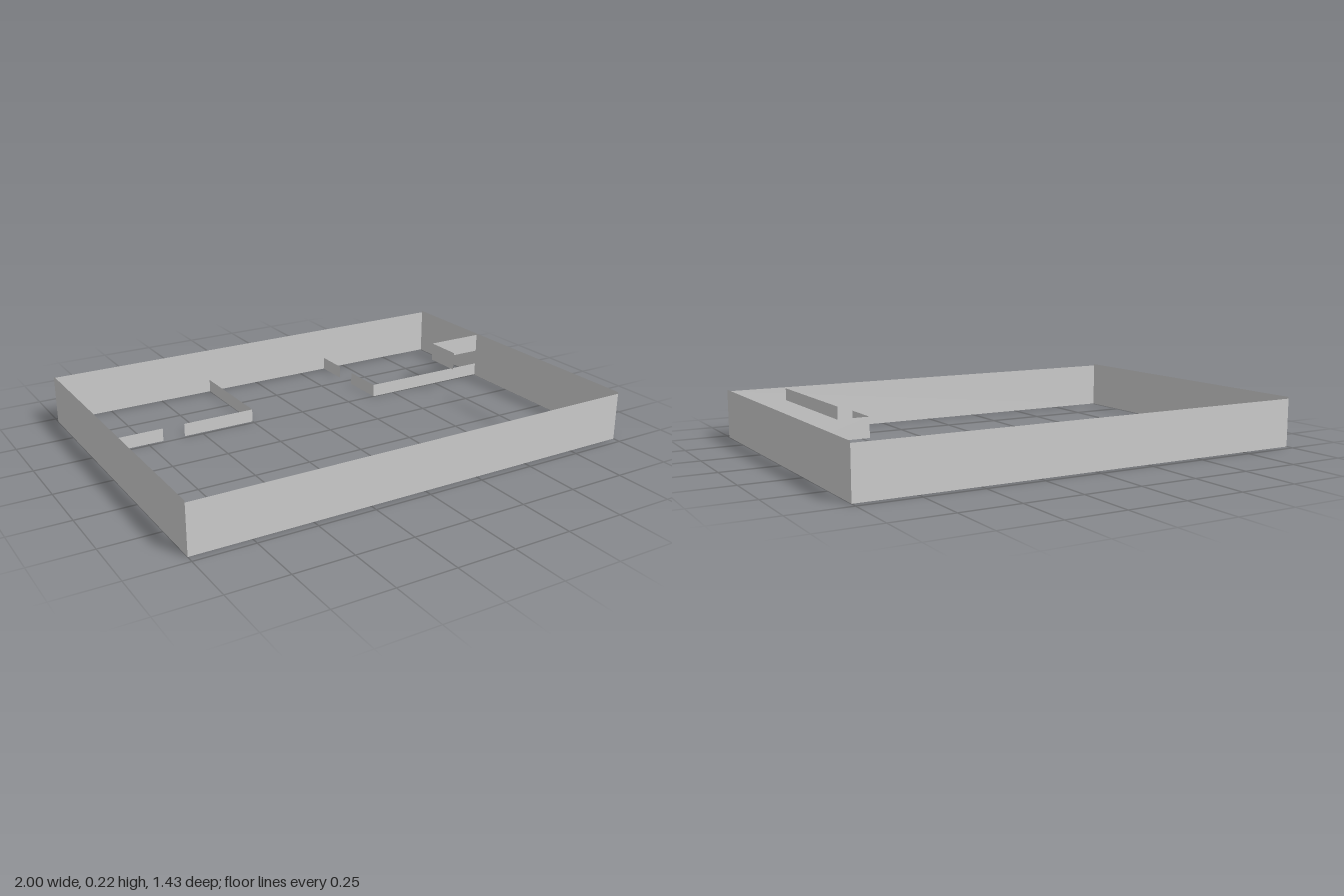
import * as THREE from 'three';

const material = new THREE.MeshStandardMaterial({ color: 0xcccccc, side: THREE.DoubleSide, flatShading: true });

// One thin upright panel between two plan points [x, z], from height y0 to y1
function wall(name, [xa, za], [xb, zb], y0, y1) {
  const length = Math.hypot(xb - xa, zb - za);
  const mesh = new THREE.Mesh(new THREE.PlaneGeometry(length, y1 - y0), material);
  mesh.position.set((xa + xb) / 2, (y0 + y1) / 2, (za + zb) / 2);
  mesh.rotation.y = -Math.atan2(zb - za, xb - xa);
  mesh.name = name;
  return mesh;
}

// A named run of connected panels along a plan path
function wallRun(name, path, y0, y1) {
  const run = new THREE.Group();
  run.name = name;
  for (let i = 0; i + 1 < path.length; i++) {
    run.add(wall(`${name}Panel${i + 1}`, path[i], path[i + 1], y0, y1));
  }
  return run;
}

export function createModel() {
  const model = new THREE.Group();
  model.name = 'floorPlan';
  const X = 1, Z = 0.715, LOW = 0.058;

  // Outer enclosure
  for (const s of [1, -1]) {
    model.add(wall(s > 0 ? 'frontWall' : 'backWall', [-X, s * Z], [X, s * Z], 0, 0.208));
    model.add(wall(s > 0 ? 'leftWall' : 'rightWall', [s * X, -Z], [s * X, Z], 0, 0.215));
  }

  // Low partitions on the floor, with door gaps between the runs
  model.add(
    wallRun('rightRoomStub', [[-X, -0.265], [-0.68, -0.265]], 0, LOW),
    wallRun('rightRoomCorner', [[-0.58, -0.265], [-0.25, -0.265], [-0.25, -Z]], 0, LOW),
    wallRun('leftRoomCorner', [[X, -0.25], [0.39, -0.25], [0.39, -0.45]], 0, LOW),
    wallRun('leftRoomStub', [[0.39, -0.555], [0.39, -Z]], 0, LOW),
  );

  // Raised partitions near the top of the enclosure
  model.add(
    wallRun('raisedCorner', [[X, -0.25], [0.73, -0.25], [0.73, -0.08]], 0.125, 0.208),
    wallRun('raisedPartition', [[0.73, 0.08], [0.73, Z]], 0.148, 0.203),
  );
  return model;
}
